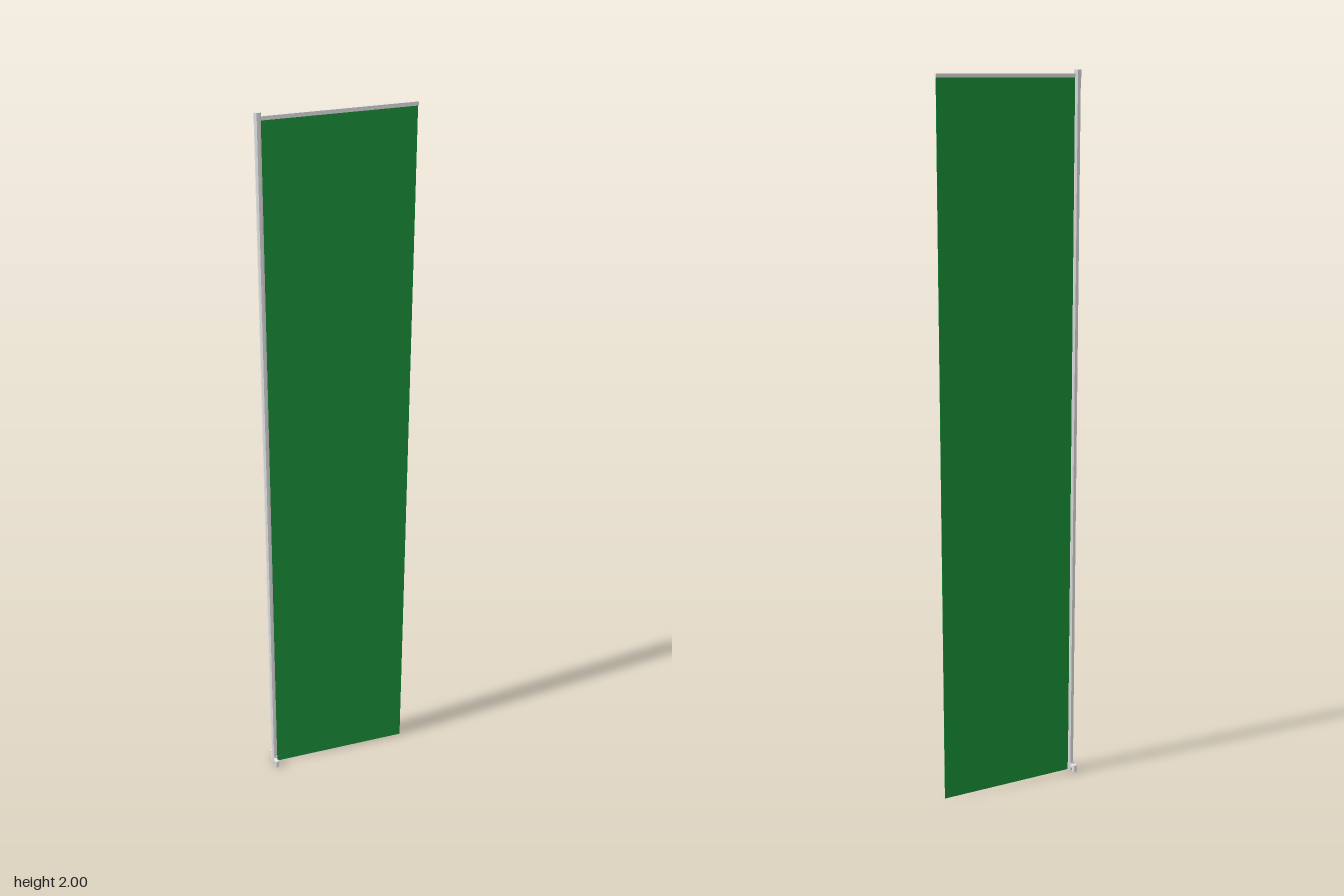
import * as THREE from 'three';

// Eight-sided upright prism with flat faces
function prism(radius, height) {
  const geometry = new THREE.CylinderGeometry(radius, radius, height, 8).toNonIndexed();
  geometry.rotateY(Math.PI / 8);
  geometry.computeVertexNormals();
  return geometry;
}

export function createModel() {
  const metal = new THREE.MeshStandardMaterial({ color: 0xececec });
  metal.name = 'lightGreyMetal';
  const green = new THREE.MeshStandardMaterial({ color: 0x1a943b });
  green.name = 'greenCloth';

  // The banner runs along local +x from the pole, the foot along local z
  const banner = new THREE.Group();
  banner.name = 'poleBanner';
  const add = (name, geometry, material, x, y, z) => {
    const mesh = new THREE.Mesh(geometry, material);
    mesh.name = name;
    mesh.position.set(x, y, z);
    banner.add(mesh);
  };

  // Upright pole with a slightly wider cap
  add('pole', prism(0.0085, 1.998), metal, 0, 0.999, 0);
  add('poleCap', prism(0.0095, 0.02), metal, 0, 1.99, 0);

  // Cloth panel hanging from the flat top rod
  add('cloth', new THREE.BoxGeometry(0.397, 1.977, 0.002), green, 0.2065, 0.9915, 0);
  add('topRod', new THREE.BoxGeometry(0.406, 0.01, 0.0075), metal, 0.203, 1.985, 0);

  // Mounting bracket across the foot of the pole, with a knob at each end
  add('footCollar', prism(0.0098, 0.022), metal, 0, 0.015, 0);
  add('footBar', new THREE.BoxGeometry(0.009, 0.009, 0.052), metal, 0, 0.018, 0);
  for (const side of [-1, 1]) {
    add('footKnob', prism(0.0065, 0.021), metal, 0, 0.0155, side * 0.0262);
  }

  // Turn the banner diagonally and centre it
  banner.rotation.y = THREE.MathUtils.degToRad(34.1);
  banner.position.set(-0.1585, 0, 0.0993);

  const model = new THREE.Group();
  model.name = 'bannerModel';
  model.add(banner);
  return model;
}
